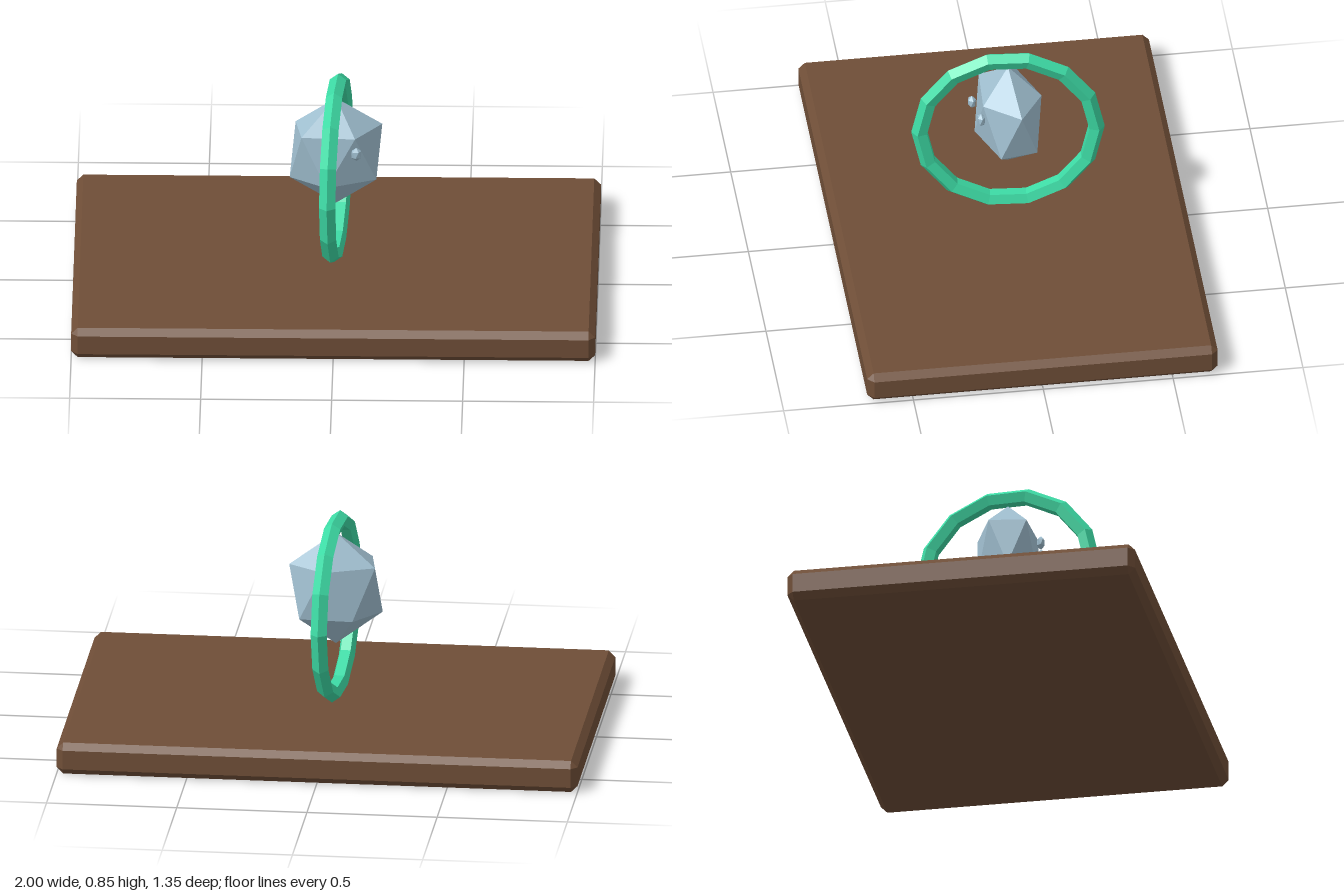
import * as THREE from 'three';
import { ConvexGeometry } from 'three/addons/geometries/ConvexGeometry.js';

// Slab with a single chamfer on every edge
function chamferedBox(hx, hy, hz, b) {
  const points = [];
  for (const x of [-1, 1]) for (const y of [-1, 1]) for (const z of [-1, 1]) {
    points.push(
      new THREE.Vector3(x * hx, y * (hy - b), z * (hz - b)),
      new THREE.Vector3(x * (hx - b), y * hy, z * (hz - b)),
      new THREE.Vector3(x * (hx - b), y * (hy - b), z * hz));
  }
  return new ConvexGeometry(points);
}

// Icosahedron standing on a point: two poles and two staggered rings of five
function polarIcosahedron() {
  const points = [new THREE.Vector3(0, 1, 0), new THREE.Vector3(0, -1, 0)];
  const y = 1 / Math.sqrt(5), r = 2 * y;
  for (let i = 0; i < 5; i++) {
    const a = (i * Math.PI * 2) / 5;
    const x = r * Math.cos(a), z = r * Math.sin(a);
    points.push(new THREE.Vector3(x, y, z), new THREE.Vector3(-x, -y, -z));
  }
  return new ConvexGeometry(points);
}

function material(name, color) {
  const m = new THREE.MeshStandardMaterial({ color, flatShading: true });
  m.name = name;
  return m;
}

export function createModel() {
  const model = new THREE.Group();
  model.name = 'gemInRing';
  const wood = material('brown', 0x6f4e37);
  const green = material('green', 0x3ddba5);
  const blue = material('paleBlue', 0xa0bfd0);

  const add = (parent, name, geometry, mat) => {
    const mesh = new THREE.Mesh(geometry, mat);
    mesh.name = name;
    parent.add(mesh);
    return mesh;
  };

  // Base slab
  add(model, 'base', chamferedBox(1, 0.0625, 0.675, 0.025), wood).position.y = 0.0625;

  // Upright ring, turned almost edge-on to the front
  const ring = add(model, 'ring', new THREE.TorusGeometry(0.337, 0.033, 5, 14), green);
  ring.position.y = 0.489;
  ring.rotation.y = 1.49;

  // Floating gem body with two small eyes, turned slightly
  const gem = new THREE.Group();
  gem.name = 'gem';
  gem.position.y = 0.564;
  gem.rotation.y = 0.17;
  model.add(gem);
  const stone = polarIcosahedron();
  add(gem, 'body', stone, blue).scale.set(0.2, 0.2236, 0.137);
  for (const side of [-1, 1]) {
    const eye = add(gem, side > 0 ? 'leftEye' : 'rightEye', stone, blue);
    eye.scale.set(0.022, 0.028, 0.017);
    eye.position.set(side * 0.059, 0.041, 0.126);
  }
  return model;
}
